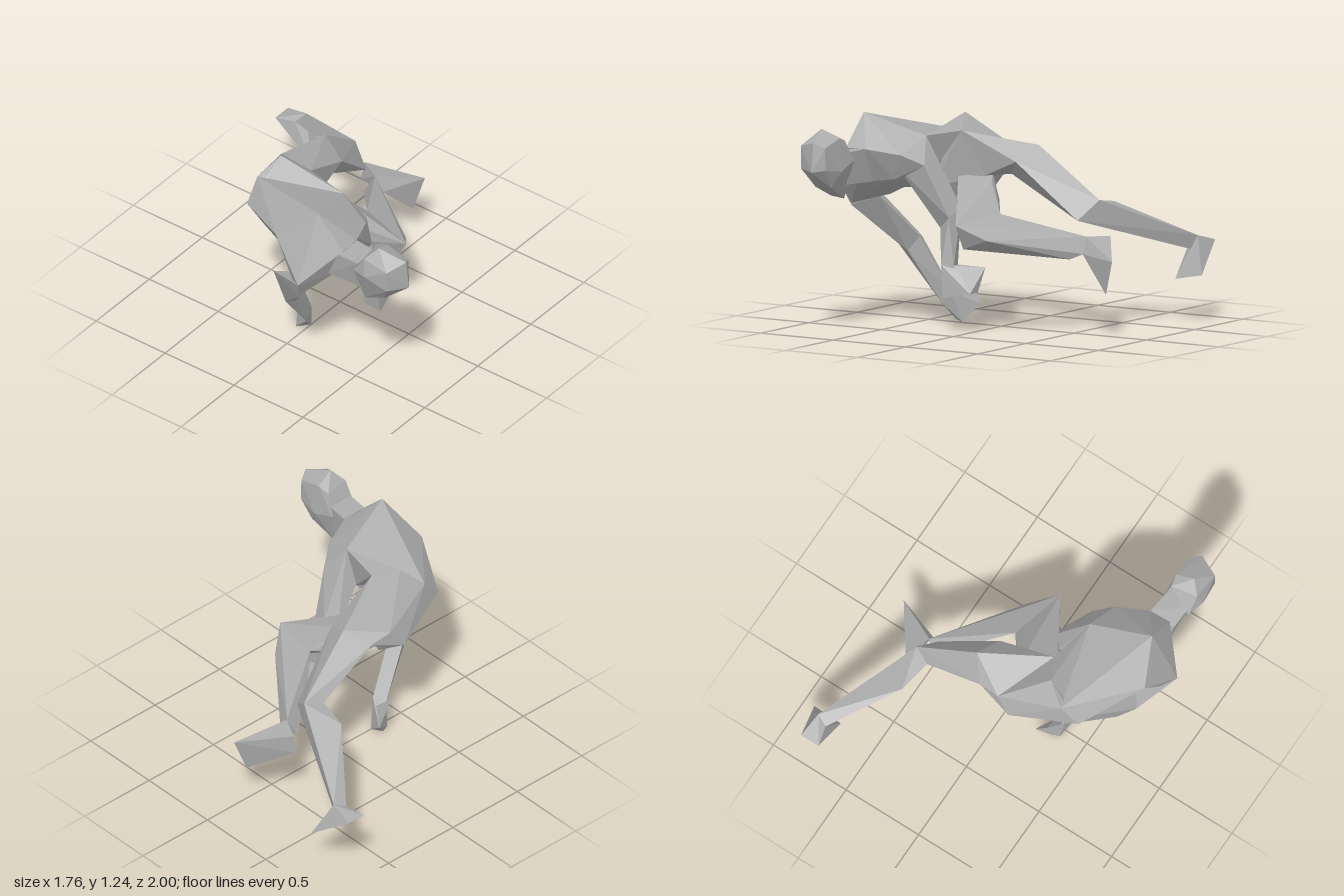
import * as THREE from 'three';
import { ConvexGeometry } from 'three/addons/geometries/ConvexGeometry.js';

export function createModel() {
  const model = new THREE.Group();
  model.name = 'crouchingFigure';
  const grey = new THREE.MeshStandardMaterial({ color: 0xacacac, flatShading: true });
  grey.name = 'clay grey';

  // Each body part is a faceted block spanning the joint sections it connects
  const part = (name, ...sections) => {
    const points = sections.flat().map((p) => new THREE.Vector3(...p));
    const mesh = new THREE.Mesh(new ConvexGeometry(points), grey);
    mesh.name = name;
    model.add(mesh);
  };

  // Head and neck
  part('head', [
    [-0.70, 1.19, 0.82], [-0.59, 1.14, 0.80], [-0.76, 1.12, 0.76], [-0.60, 1.12, 0.73],
    [-0.77, 1.10, 0.93], [-0.65, 1.13, 0.98], [-0.59, 1.10, 0.95], [-0.65, 0.96, 1.0],
    [-0.77, 0.97, 0.93], [-0.585, 0.97, 0.95], [-0.79, 1.02, 0.78], [-0.565, 0.95, 0.81],
    [-0.755, 1.0, 0.68], [-0.575, 1.0, 0.67], [-0.71, 0.86, 0.87], [-0.60, 0.86, 0.87],
    [-0.70, 0.79, 0.72], [-0.63, 0.775, 0.69],
  ]);
  part('neck', [
    [-0.745, 1.05, 0.70], [-0.585, 1.05, 0.70], [-0.71, 0.86, 0.70], [-0.60, 0.86, 0.70],
    [-0.735, 1.04, 0.55], [-0.57, 1.05, 0.565], [-0.72, 0.86, 0.47], [-0.58, 0.85, 0.47],
  ]);

  // Torso sections
  const leftShoulder = [-0.335, 1.115, 0.28];
  const hipCrest = [-0.355, 1.2, -0.155];
  const hipFront = [-0.275, 1.115, 0.0];
  const spineBase = [-0.474, 1.084, -0.235];
  const upperBack = [[-0.70, 1.235, 0.38], leftShoulder, [-0.80, 1.04, 0.15]];
  const belly = [[-0.66, 0.78, 0.20], [-0.35, 0.88, 0.22]];
  const lowerBack = [[-0.59, 0.965, -0.22], spineBase];
  const waist = [[-0.58, 0.86, -0.1], [-0.48, 0.77, 0.0]];
  part('chest', upperBack, belly, [
    [-0.88, 0.82, 0.37], [-0.82, 0.69, 0.33], [-0.70, 1.05, 0.565], [-0.57, 1.05, 0.56],
    [-0.68, 0.84, 0.48], [-0.38, 1.02, 0.48], [-0.27, 0.96, 0.40], [-0.45, 0.87, 0.44],
    [-0.57, 0.76, 0.30],
  ]);
  part('abdomen', upperBack, belly, lowerBack, waist);
  part('leftFlank', [leftShoulder, hipCrest, hipFront, spineBase, [-0.35, 0.88, 0.22]]);

  const hipBack = [[-0.2, 0.86, -0.365], [-0.11, 0.98, -0.34]];
  part('pelvis', lowerBack, waist, hipBack, [
    hipCrest, hipFront, [-0.36, 0.65, -0.09], [-0.22, 0.67, -0.12], [-0.14, 0.86, -0.04],
  ]);

  // Left leg, stretched out behind
  const thighMiddle = [
    [0.0, 1.05, -0.155], [0.125, 1.04, -0.2], [0.07, 0.955, -0.04],
    [0.02, 0.95, -0.325], [-0.03, 0.865, -0.15],
  ];
  const leftKnee = [[0.495, 0.74, -0.27], [0.43, 0.63, -0.14], [0.39, 0.72, -0.32]];
  const leftAnkle = [[0.79, 0.49, -0.85], [0.72, 0.46, -0.88], [0.76, 0.41, -0.82]];
  part('leftHip', hipBack, thighMiddle, [hipFront, [-0.14, 0.86, -0.04]]);
  part('leftThigh', thighMiddle, leftKnee);
  part('leftShin', leftKnee, [[0.43, 0.70, -0.52]], leftAnkle);
  part('leftFoot', leftAnkle.slice(0, 2), [
    [0.69, 0.45, -1.0], [0.81, 0.45, -1.0], [0.88, 0.275, -0.755], [0.70, 0.24, -0.75],
  ]);

  // Right leg, folded with the knee forward
  const rightKnee = [[0.0, 0.64, 0.48], [0.0, 0.495, 0.40], [0.14, 0.55, 0.37], [0.08, 0.675, 0.135]];
  const rightAnkle = [[0.50, 0.545, -0.13], [0.505, 0.45, -0.08], [0.45, 0.42, -0.03], [0.46, 0.44, -0.18]];
  part('rightThigh', [
    [-0.12, 0.87, -0.09], [-0.07, 0.84, 0.0], [-0.30, 0.85, 0.0],
    [-0.36, 0.65, -0.09], [-0.09, 0.72, -0.11],
  ], rightKnee);
  part('rightShin', rightKnee, rightAnkle);
  part('rightFoot', rightAnkle.slice(0, 2), [
    [0.575, 0.54, -0.265], [0.56, 0.42, -0.28], [0.775, 0.435, 0.02], [0.71, 0.237, -0.015],
  ]);

  // Right arm, reaching to the ground
  const rightElbow = [[-0.5, 0.495, 0.10], [-0.645, 0.44, 0.10], [-0.54, 0.49, 0.02], [-0.57, 0.41, 0.12]];
  const rightWrist = [[-0.385, 0.115, 0.05], [-0.32, 0.18, 0.04], [-0.36, 0.17, -0.03]];
  part('rightUpperArm', [
    [-0.88, 0.82, 0.37], [-0.82, 0.68, 0.33], [-0.64, 0.74, 0.30], [-0.77, 0.74, 0.11],
  ], rightElbow);
  part('rightForearm', rightElbow, rightWrist);
  part('rightHand', rightWrist, [
    [-0.35, 0.01, -0.05], [-0.27, 0.0, 0.0], [-0.30, 0.01, -0.07], [-0.225, 0.10, -0.12],
  ]);
  part('rightThumb', [
    [-0.31, 0.27, -0.13], [-0.36, 0.16, -0.02], [-0.30, 0.15, 0.0], [-0.225, 0.10, -0.12],
  ]);

  // Left arm, bent under the chest
  const leftElbow = [[-0.12, 0.71, 0.24], [-0.225, 0.59, 0.30], [-0.17, 0.66, 0.18], [-0.14, 0.66, 0.34]];
  const leftWrist = [[-0.16, 0.39, 0.39], [-0.10, 0.37, 0.35], [-0.13, 0.38, 0.26]];
  part('leftUpperArm', [
    leftShoulder, [-0.27, 0.96, 0.40], [-0.44, 0.94, 0.42], [-0.35, 0.90, 0.21],
  ], leftElbow);
  part('leftForearm', leftElbow, leftWrist);
  part('leftHand', leftWrist, [
    [-0.14, 0.2, 0.40], [-0.13, 0.2, 0.275], [0.02, 0.23, 0.28], [0.02, 0.23, 0.36],
    [0.03, 0.37, 0.215], [-0.06, 0.34, 0.34],
  ]);

  return model;
}
